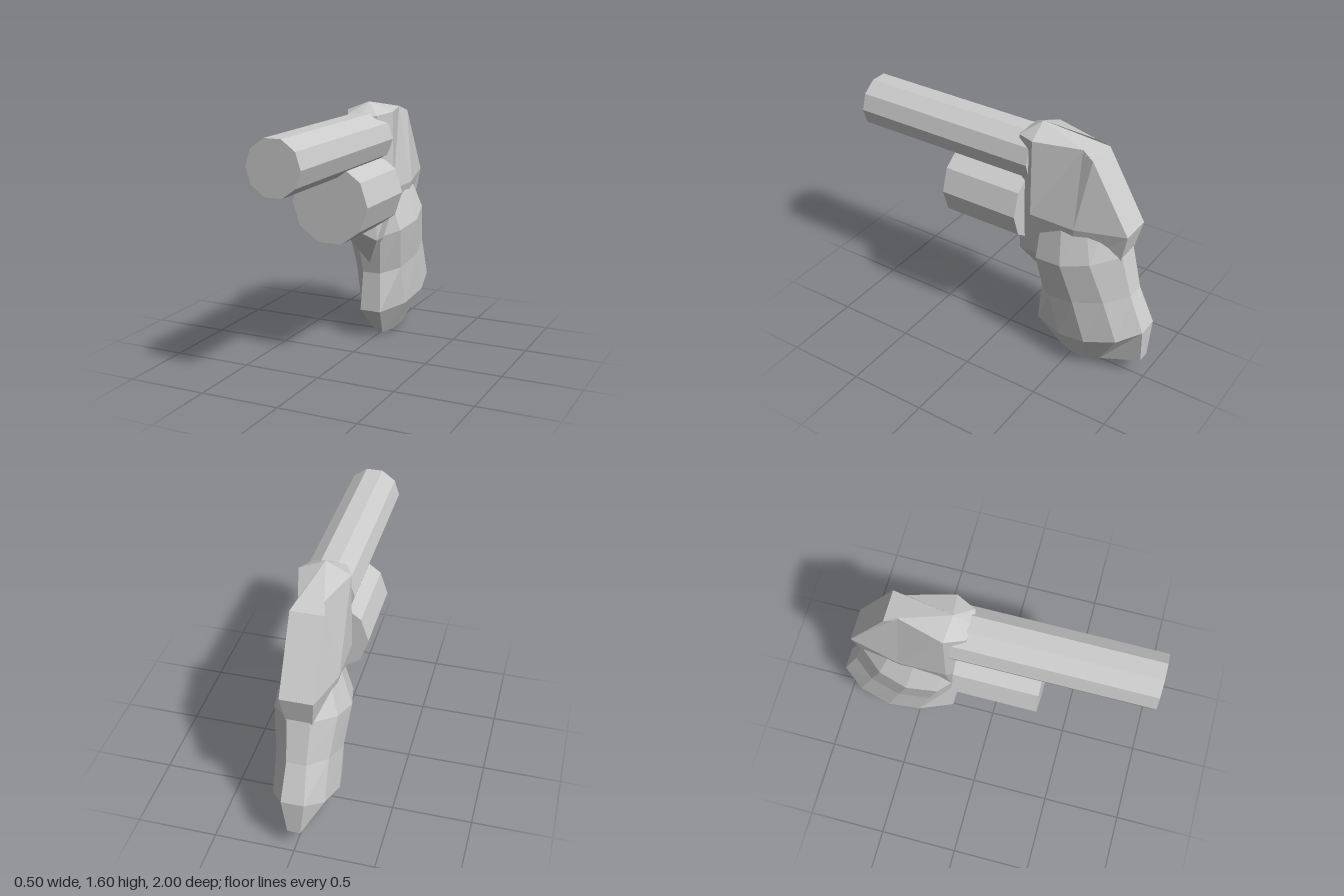
import * as THREE from 'three';

const material = new THREE.MeshStandardMaterial({ color: 0xcccccc, flatShading: true });

// Mirrors half a ring (front to back along +x) into a closed ring.
const mirrorRing = (half) => [
  ...half,
  ...half.filter((p) => p[0] > 0).reverse().map(([x, y, z]) => [-x, y, z]),
];

// Skins rings from bottom to top and closes both ends with a fan to an apex.
function loft(name, halves, bottomApex, topApex) {
  const rings = halves.map(mirrorRing);
  const n = rings[0].length;
  const vertices = [...rings.flat(), bottomApex, topApex];
  const bottom = vertices.length - 2, top = vertices.length - 1;
  const last = (rings.length - 1) * n;
  const index = [];
  for (let i = 0; i < n; i++) {
    const j = (i + 1) % n;
    for (let r = 0; r < last; r += n) {
      index.push(r + i, r + j, r + n + j, r + i, r + n + j, r + n + i);
    }
    index.push(bottom, j, i, top, last + i, last + j);
  }
  const indexed = new THREE.BufferGeometry();
  indexed.setAttribute('position', new THREE.Float32BufferAttribute(vertices.flat(), 3));
  indexed.setIndex(index);
  const geometry = indexed.toNonIndexed();
  geometry.computeVertexNormals();
  const mesh = new THREE.Mesh(geometry, material);
  mesh.name = name;
  return mesh;
}

// Ten-sided rod along z, with flat top and bottom faces.
function rod(name, radius, y, back, front) {
  const geometry = new THREE.CylinderGeometry(radius, radius, front - back, 10);
  geometry.rotateY(Math.PI / 2);
  geometry.rotateX(Math.PI / 2);
  const mesh = new THREE.Mesh(geometry, material);
  mesh.position.set(0, y, (front + back) / 2);
  mesh.name = name;
  return mesh;
}

export function createModel() {
  const model = new THREE.Group();
  model.name = 'revolver';

  model.add(rod('barrel', 0.17, 1.37, -0.22, 1));
  model.add(rod('cylinder', 0.25, 1.04, -0.19, 0.33));

  // Frame: trigger wedge at the bottom, flat sides, ridge on top
  model.add(loft('frame', [
    [[0, 0.78, -0.08], [0.1, 0.72, -0.14], [0.1, 0.72, -0.25], [0.1, 0.72, -0.5], [0.07, 0.81, -0.81]],
    [[0, 1.04, -0.1], [0.1, 1.04, -0.12], [0.165, 1.04, -0.25], [0.165, 1.04, -0.55], [0.1, 1.07, -0.87]],
    [[0, 1.51, -0.1], [0.1, 1.52, -0.13], [0.155, 1.535, -0.25], [0.075, 1.535, -0.54], [0.1, 1.5, -0.62]],
  ], [0, 0.535, -0.25], [0, 1.595, -0.23]));

  // Grip: tilted ten-sided rings from the butt up into the frame
  model.add(loft('grip', [
    [[0.02, 0, -0.42], [0.06, 0.012, -0.51], [0.08, 0.035, -0.61], [0.07, 0.065, -0.72], [0.04, 0.155, -0.99]],
    [[0.07, 0.2, -0.26], [0.165, 0.22, -0.47], [0.2, 0.27, -0.67], [0.16, 0.33, -0.87], [0.07, 0.4, -1]],
    [[0.06, 0.46, -0.28], [0.16, 0.485, -0.39], [0.2, 0.54, -0.58], [0.16, 0.59, -0.77], [0.06, 0.63, -0.9]],
    [[0.08, 0.72, -0.23], [0.19, 0.76, -0.31], [0.23, 0.8, -0.5], [0.19, 0.85, -0.68], [0.07, 0.9, -0.83]],
    [[0.06, 0.98, -0.27], [0.11, 1.0, -0.3], [0.135, 1.06, -0.45], [0.11, 1.09, -0.6], [0.05, 1.12, -0.72]],
  ], [0, 0.06, -0.7], [0, 1.08, -0.48]));

  return model;
}
